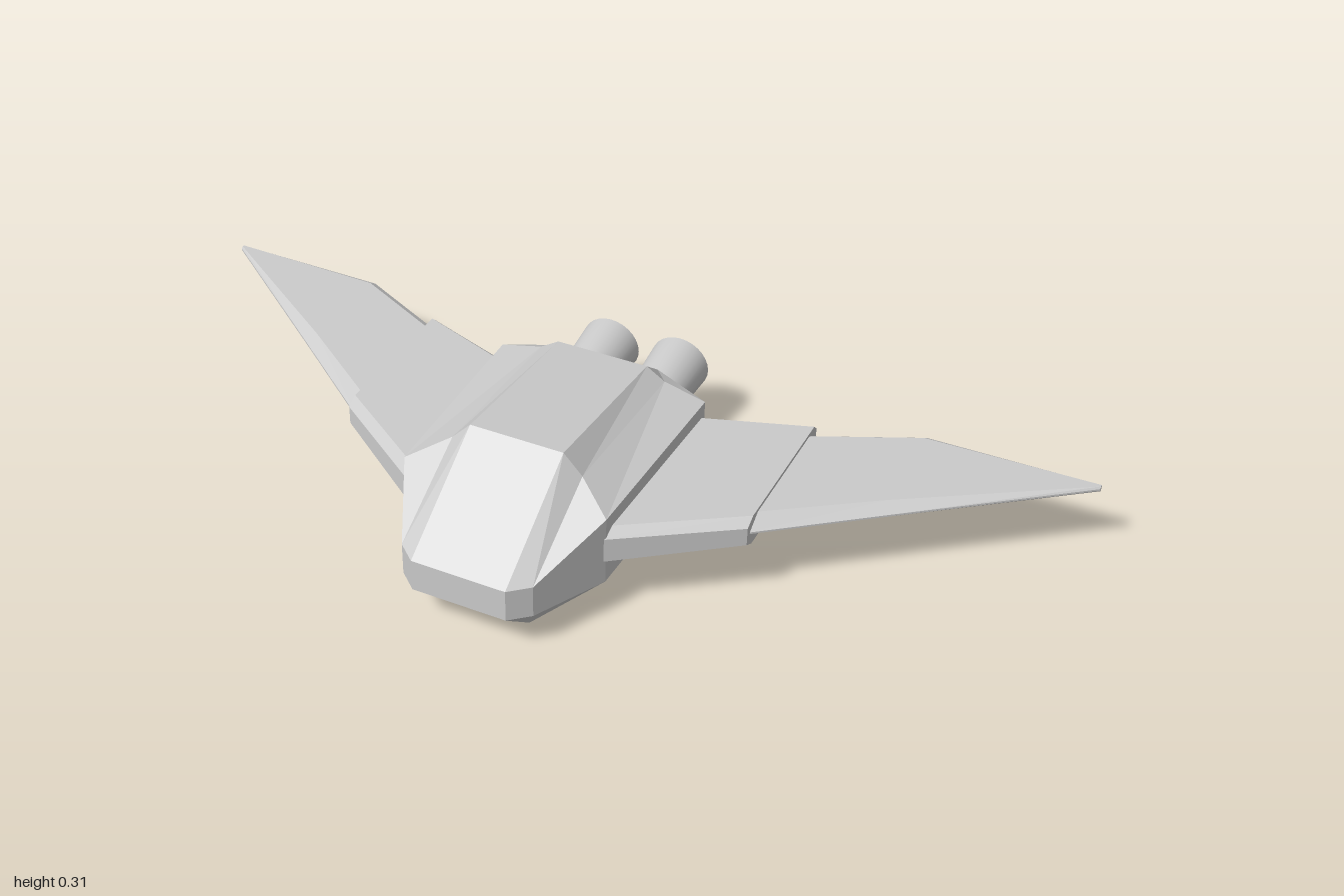
import * as THREE from 'three';
import { toCreasedNormals } from 'three/addons/utils/BufferGeometryUtils.js';

// Skins a list of equal-length closed rings, caps both ends, faces outward.
function loft(rings) {
  const n = rings[0].length, tris = [];
  const add = (a, b, c) => {
    const area = b.clone().sub(a).cross(c.clone().sub(a)).length();
    if (area > 1e-8) tris.push([a, b, c]);
  };
  for (let r = 0; r < rings.length - 1; r++) {
    for (let i = 0; i < n; i++) {
      const j = (i + 1) % n;
      const a = rings[r][i], b = rings[r][j], c = rings[r + 1][j], d = rings[r + 1][i];
      if (i < n / 2) { add(a, b, c); add(a, c, d); }
      else { add(a, b, d); add(b, c, d); }
    }
  }
  const first = rings[0], last = rings[rings.length - 1];
  for (let i = 1; i < n - 1; i++) {
    add(first[0], first[i + 1], first[i]);
    add(last[0], last[i], last[i + 1]);
  }
  let volume = 0;
  for (const [a, b, c] of tris) volume += a.dot(b.clone().cross(c));
  if (volume < 0) tris.forEach((t) => t.reverse());
  return new THREE.BufferGeometry().setFromPoints(tris.flat());
}

const v = (p) => new THREE.Vector3(...p);

// Closes a half section by mirroring it across x = 0.
function mirrorRing(half) {
  const other = half.map(([x, y, z]) => [-x, y, z]).reverse();
  return [...half, ...other].map(v);
}

// Wing section at x: blunt or sharp leading edge, bevels, thin trailing edge.
function wingRing(side, { x, y, front, back, half, nose, tail, bevelF, bevelB }) {
  return [
    [front, nose], [front - bevelF, half], [back + bevelB, half], [back, tail],
    [back, -tail], [back + bevelB, -half], [front - bevelF, -half], [front, -nose],
  ].map(([z, dy]) => new THREE.Vector3(side * x, y + dy, z));
}

export function createModel() {
  const group = new THREE.Group();
  const smooth = new THREE.MeshStandardMaterial({ color: 0xcccccc });
  const flat = new THREE.MeshStandardMaterial({ color: 0xcccccc, flatShading: true });
  const open = new THREE.MeshStandardMaterial({ color: 0xcccccc, side: THREE.DoubleSide });

  function addMesh(name, geometry, material) {
    geometry.computeVertexNormals();
    const mesh = new THREE.Mesh(geometry, material);
    mesh.name = name;
    group.add(mesh);
    return mesh;
  }

  // Hull half sections: keel, lower side, shoulder, canopy edge, roof
  const hull = [
    [[0.10, 0.08, 0.42], [0.10, 0.08, 0.42], [0.10, 0.15, 0.42], [0.10, 0.15, 0.42], [0.10, 0.15, 0.42]],
    [[0.10, 0.08, 0.42], [0.14, 0.08, 0.385], [0.14, 0.15, 0.385], [0.14, 0.15, 0.385], [0.10, 0.15, 0.42]],
    [[0.10, 0, 0.325], [0.217, 0.08, 0.235], [0.217, 0.23, 0.235], [0.14, 0.268, 0.18], [0.10, 0.31, 0.18]],
    [[0.10, 0, -0.195], [0.23, 0.08, -0.195], [0.23, 0.23, -0.195], [0.14, 0.252, -0.195], [0.10, 0.277, -0.195]],
    [[0.10, 0.08, -0.25], [0.10, 0.08, -0.25], [0.10, 0.235, -0.25], [0.10, 0.235, -0.25], [0.10, 0.235, -0.25]],
  ];
  addMesh('hull', toCreasedNormals(loft(hull.map(mirrorRing)), 0.55), smooth);

  // Wing sections from root to tip
  const inner = [
    { x: 0.20, y: 0.158, front: 0.25, back: -0.185, half: 0.042, nose: 0.027, tail: 0.03, bevelF: 0.027, bevelB: 0.015 },
    { x: 0.44, y: 0.158, front: 0.08, back: -0.28, half: 0.034, nose: 0.02, tail: 0.02, bevelF: 0.025, bevelB: 0.015 },
  ];
  const outer = [
    { x: 0.43, y: 0.158, front: 0.075, back: -0.255, half: 0.027, nose: 0.002, tail: 0.014, bevelF: 0.037, bevelB: 0.02 },
    { x: 0.645, y: 0.158, front: -0.092, back: -0.367, half: 0.02, nose: 0.002, tail: 0.007, bevelF: 0.03, bevelB: 0.02 },
    { x: 1.0, y: 0.158, front: -0.365, back: -0.376, half: 0.006, nose: 0.002, tail: 0.004, bevelF: 0.004, bevelB: 0.002 },
  ];

  // Engine nozzle: rounded front, flared wall, recessed rear opening
  const profile = [
    [0, 0], [0.035, 0], [0.047, 0.008], [0.053, 0.025], [0.057, 0.05],
    [0.065, 0.195], [0.058, 0.195], [0.054, 0.16], [0, 0.16],
  ].map(([r, h]) => new THREE.Vector2(r, h));

  for (const [side, label] of [[1, 'left'], [-1, 'right']]) {
    addMesh(label + 'InnerWing', loft(inner.map((s) => wingRing(side, s))), flat);
    addMesh(label + 'OuterWing', loft(outer.map((s) => wingRing(side, s))), flat);

    const nozzle = toCreasedNormals(new THREE.LatheGeometry(profile, 28), 0.6);
    const engine = new THREE.Mesh(nozzle, open);
    engine.name = label + 'Engine';
    engine.rotation.x = THREE.MathUtils.degToRad(-85.5);
    engine.position.set(side * 0.081, 0.132, -0.218);
    group.add(engine);
  }
  return group;
}
